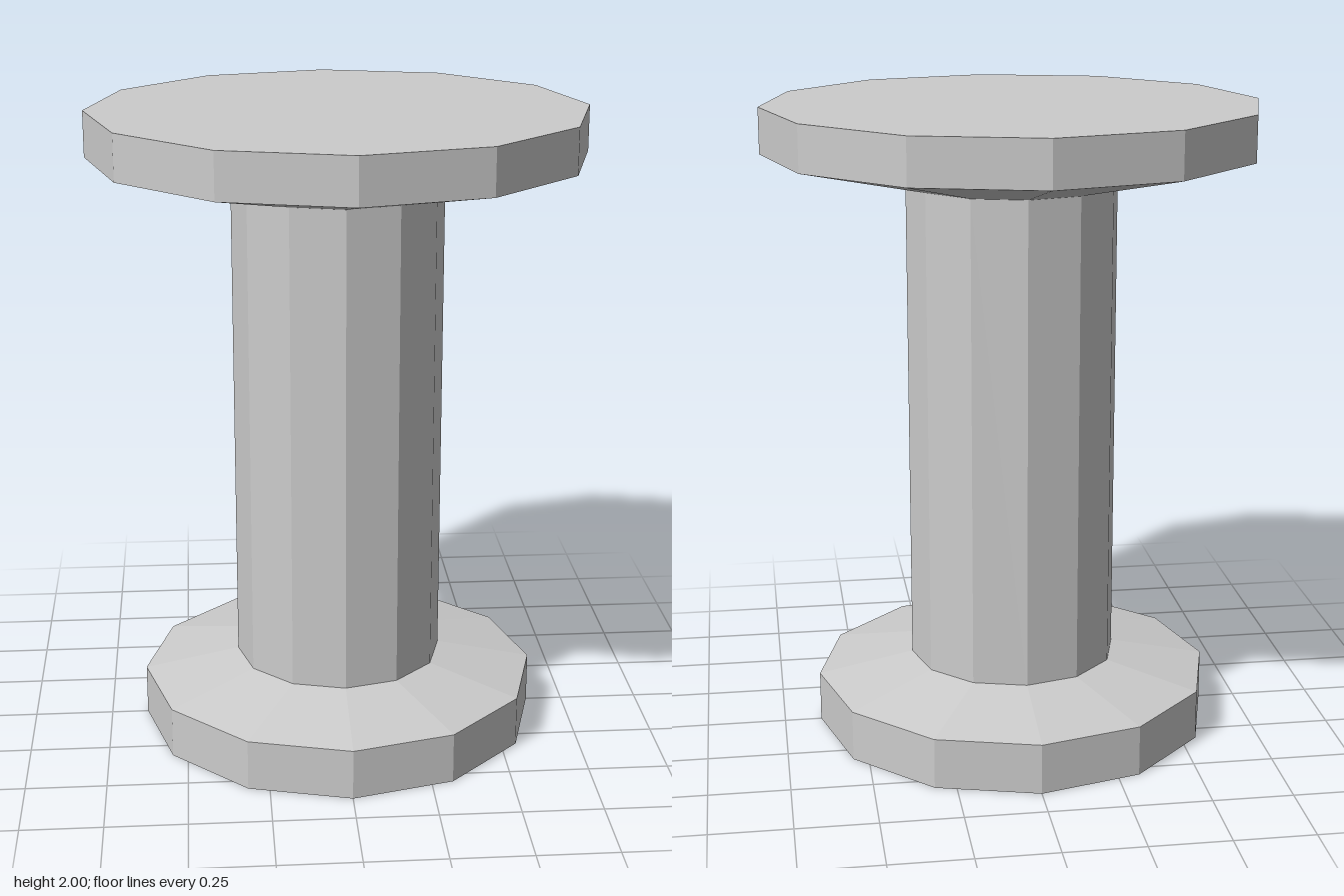
import * as THREE from 'three';

const SIDES = 12;

export function createModel() {
  const group = new THREE.Group();
  group.name = 'pedestal';
  const material = new THREE.MeshStandardMaterial({ color: 0xcccccc, flatShading: true });

  // Faceted solid of revolution from [radius, y] points, bottom to top
  const turned = (name, points) => {
    const profile = points.map(([r, y]) => new THREE.Vector2(r, y));
    const mesh = new THREE.Mesh(new THREE.LatheGeometry(profile, SIDES), material);
    mesh.name = name;
    group.add(mesh);
  };

  // Foot: closed disc with a shallow sloped top meeting the column
  turned('base', [[0, 0], [0.633, 0], [0.633, 0.16], [0.33, 0.222]]);

  // Straight column
  turned('column', [[0.33, 0.222], [0.33, 1.757]]);

  // Wider seat: flared underside, upright rim and flat top
  turned('top', [[0.33, 1.757], [0.77, 1.858], [0.77, 2], [0, 2]]);

  return group;
}
